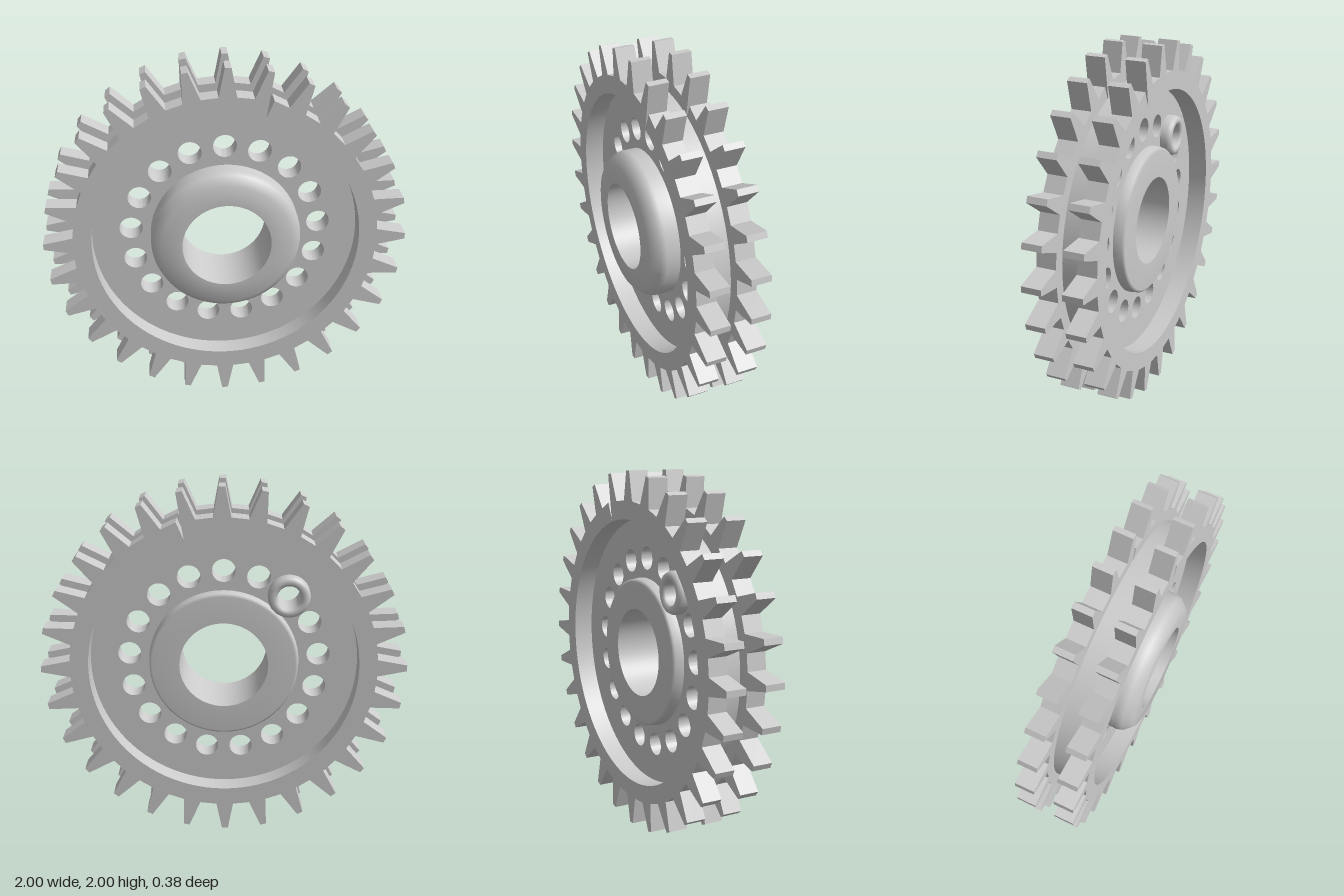
import * as THREE from 'three';
import { toCreasedNormals } from 'three/addons/utils/BufferGeometryUtils.js';

const TEETH = 28, HOLES = 17, HOLE_CIRCLE = 0.525, HOLE_R = 0.064, BORE = 0.245;

export function createModel() {
  const group = new THREE.Group();
  const material = new THREE.MeshStandardMaterial({ color: 0xcccccc });

  const add = (name, geometry, parent = group) => {
    const mesh = new THREE.Mesh(geometry, material);
    mesh.name = name;
    parent.add(mesh);
    return mesh;
  };
  const circle = (x, y, r, Type = THREE.Path) => new Type().absarc(x, y, r, 0, Math.PI * 2);
  // Flat plate from z0 to z1 with smooth round walls and sharp edges
  const plate = (shape, z0, z1) => {
    const g = new THREE.ExtrudeGeometry(shape, { depth: z1 - z0, bevelEnabled: false, curveSegments: 48 });
    return toCreasedNormals(g.translate(0, 0, z0), 0.35);
  };
  // Profile of [radius, z] turned about the z axis
  const turned = (points, segments = 64) =>
    new THREE.LatheGeometry(points.map(([r, z]) => new THREE.Vector2(r, z)), segments).rotateX(Math.PI / 2);
  const holeAngle = (i) => Math.PI / 2 + (i * Math.PI * 2) / HOLES;

  // Toothed ring outline
  const ringShape = new THREE.Shape();
  const corners = [];
  for (let i = 0; i < TEETH; i++) {
    const a = (i * Math.PI * 2) / TEETH - 0.008;
    const c = Math.cos(a), s = Math.sin(a);
    const at = (r, w) => new THREE.Vector2(r * c - w * s, r * s + w * c);
    // One tooth has a narrow split running down its root
    if (i === 6) corners.push(new THREE.Vector2(0.248, 0.815), new THREE.Vector2(0.207, 0.722));
    else corners.push(at(0.84, -0.048));
    corners.push(at(1, -0.017), at(1, 0.017), at(0.84, 0.048));
  }
  ringShape.setFromPoints(corners);
  ringShape.holes.push(circle(0, 0, 0.74));

  const wheel = new THREE.Group();
  wheel.name = 'wheel';
  wheel.position.y = 1;
  group.add(wheel);
  add('frontToothedRing', plate(ringShape, 0.033, 0.143), wheel);
  add('backToothedRing', plate(ringShape, -0.19, -0.08), wheel);

  // Web with a ring of lightening holes
  const webShape = circle(0, 0, 0.775, THREE.Shape);
  webShape.holes.push(circle(0, 0, BORE));
  for (let i = 0; i < HOLES; i++) {
    const a = holeAngle(i);
    webShape.holes.push(circle(Math.cos(a) * HOLE_CIRCLE, Math.sin(a) * HOLE_CIRCLE, HOLE_R));
  }
  add('web', plate(webShape, -0.08, 0.033), wheel);

  // Hub: rounded collar on the front, lower collar on the back, bore through both
  add('frontHub', turned([[0.415, 0.033], [0.415, 0.11], [0.404, 0.145], [0.358, 0.193], [BORE, 0.193]]), wheel);
  add('backHub', turned([[BORE, -0.14], [0.395, -0.14], [0.41, -0.128], [0.415, -0.08]]), wheel);
  add('bore', turned([[BORE, 0.193], [BORE, -0.14]]), wheel);

  // Small rounded collar around one hole on the back
  const a = holeAngle(2);
  const collar = add('holeCollar', turned([
    [HOLE_R, -0.08], [HOLE_R, -0.125], [0.072, -0.138], [0.09, -0.142],
    [0.107, -0.135], [0.116, -0.115], [0.116, -0.08],
  ], 32), wheel);
  collar.position.set(Math.cos(a) * HOLE_CIRCLE, Math.sin(a) * HOLE_CIRCLE, 0);

  return group;
}
